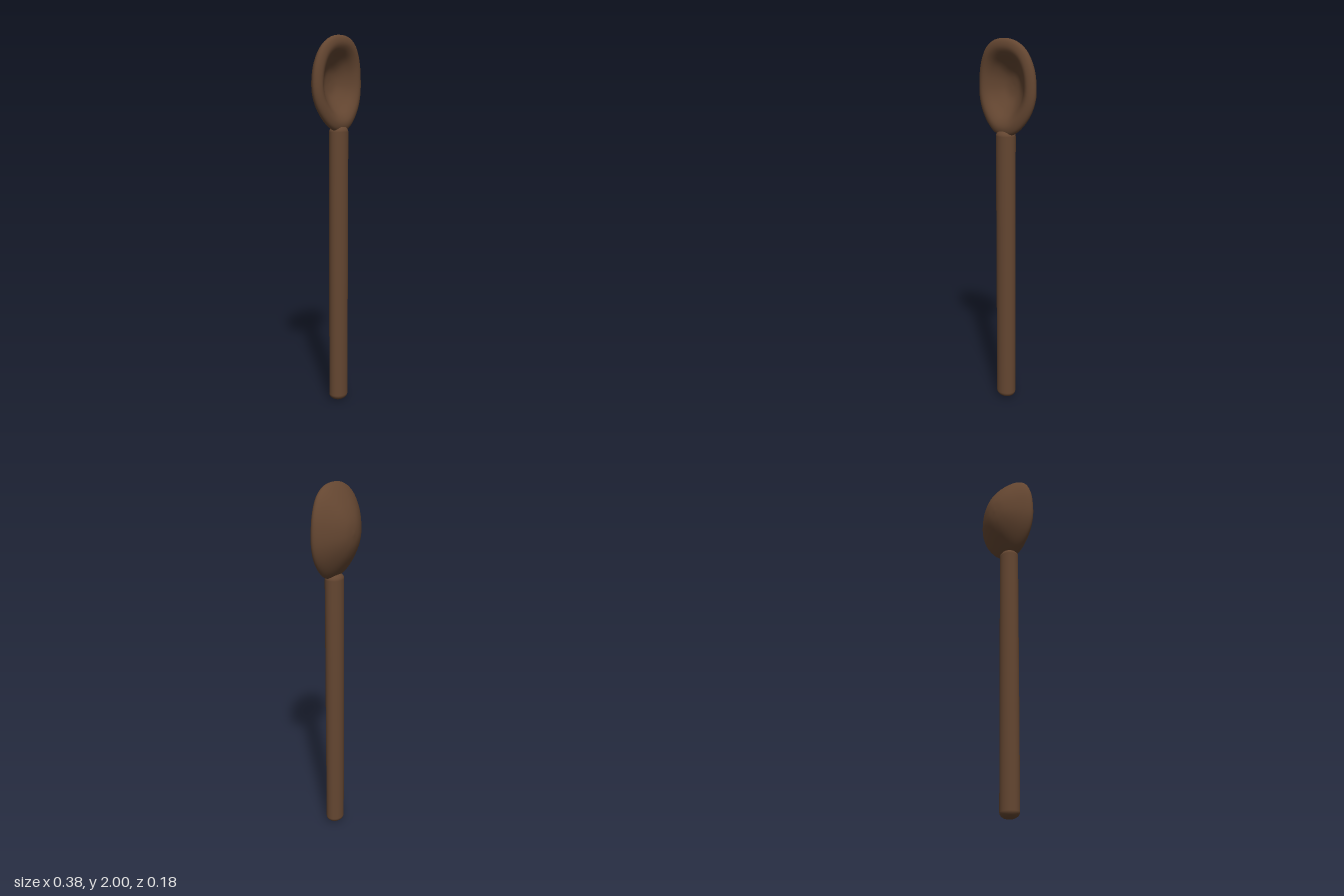
import * as THREE from 'three';
import { mergeVertices } from 'three/addons/utils/BufferGeometryUtils.js';

const vec2 = ([x, y]) => new THREE.Vector2(x, y);

// Scooped head: a round shell profile stretched to an egg-shaped outline
function bowlGeometry() {
  const midY = 1.755;
  const half = [[0.05, 1.508], [0.1, 1.54], [0.155, 1.61], [0.184, 1.69],
    [0.187, 1.78], [0.171, 1.87], [0.13, 1.948], [0.07, 1.989]];
  const mirrored = half.map(([x, y]) => [-x, y]).reverse();
  const outline = new THREE.CatmullRomCurve3(
    [[0, 1.5], ...half, [0, 2], ...mirrored].map(([x, y]) => new THREE.Vector3(x, y, 0)), true);

  // Profile from the middle of the back, round the rim, to the bottom of the hollow
  const profile = new THREE.SplineCurve([[0, -0.088], [0.25, -0.081], [0.5, -0.06],
    [0.75, -0.028], [0.93, 0.002], [1, 0.026], [0.95, 0.046], [0.82, 0.056],
    [0.68, 0.045], [0.5, 0.012], [0.25, -0.02], [0, -0.027]].map(vec2)).getPoints(44);
  profile.forEach((p) => { p.x = Math.max(p.x, 0); });
  profile[0].x = profile[profile.length - 1].x = 0;

  let geo = new THREE.LatheGeometry(profile, 56);
  const pos = geo.attributes.position;
  for (let i = 0; i < pos.count; i++) {
    const x = pos.getX(i), z = pos.getZ(i);
    const r = Math.hypot(x, z);
    const t = (Math.atan2(x, z) / (2 * Math.PI) + 1) % 1;
    const edge = outline.getPoint(t);
    const y = r * (edge.y - midY);
    // The rim sweeps forward at the tip and at the neck
    pos.setXYZ(i, r * edge.x, midY + y, pos.getY(i) + 0.02 * (y / 0.245) ** 2);
  }
  geo.deleteAttribute('uv');
  geo.deleteAttribute('normal');
  geo = mergeVertices(geo, 1e-5);
  geo.computeVertexNormals();
  return geo;
}

// Straight rod with rounded ends
function handleGeometry() {
  const radius = 0.055, length = 1.535, cap = 0.035;
  const points = [];
  for (let i = 0; i <= 8; i++) {
    const a = (i / 8) * Math.PI / 2;
    points.push(vec2([radius * Math.sin(a), cap * (1 - Math.cos(a))]));
  }
  for (let i = 8; i >= 0; i--) {
    const a = (i / 8) * Math.PI / 2;
    points.push(vec2([radius * Math.sin(a), length - cap * (1 - Math.cos(a))]));
  }
  return new THREE.LatheGeometry(points, 32).scale(1, 1, 0.88);
}

export function createModel() {
  const group = new THREE.Group();
  group.name = 'woodenSpoon';
  const wood = new THREE.MeshStandardMaterial({ color: 0x644631 });

  const bowl = new THREE.Mesh(bowlGeometry(), wood);
  bowl.name = 'bowl';

  const handle = new THREE.Mesh(handleGeometry(), wood);
  handle.name = 'handle';
  handle.position.z = 0.039;

  group.add(bowl, handle);
  return group;
}
